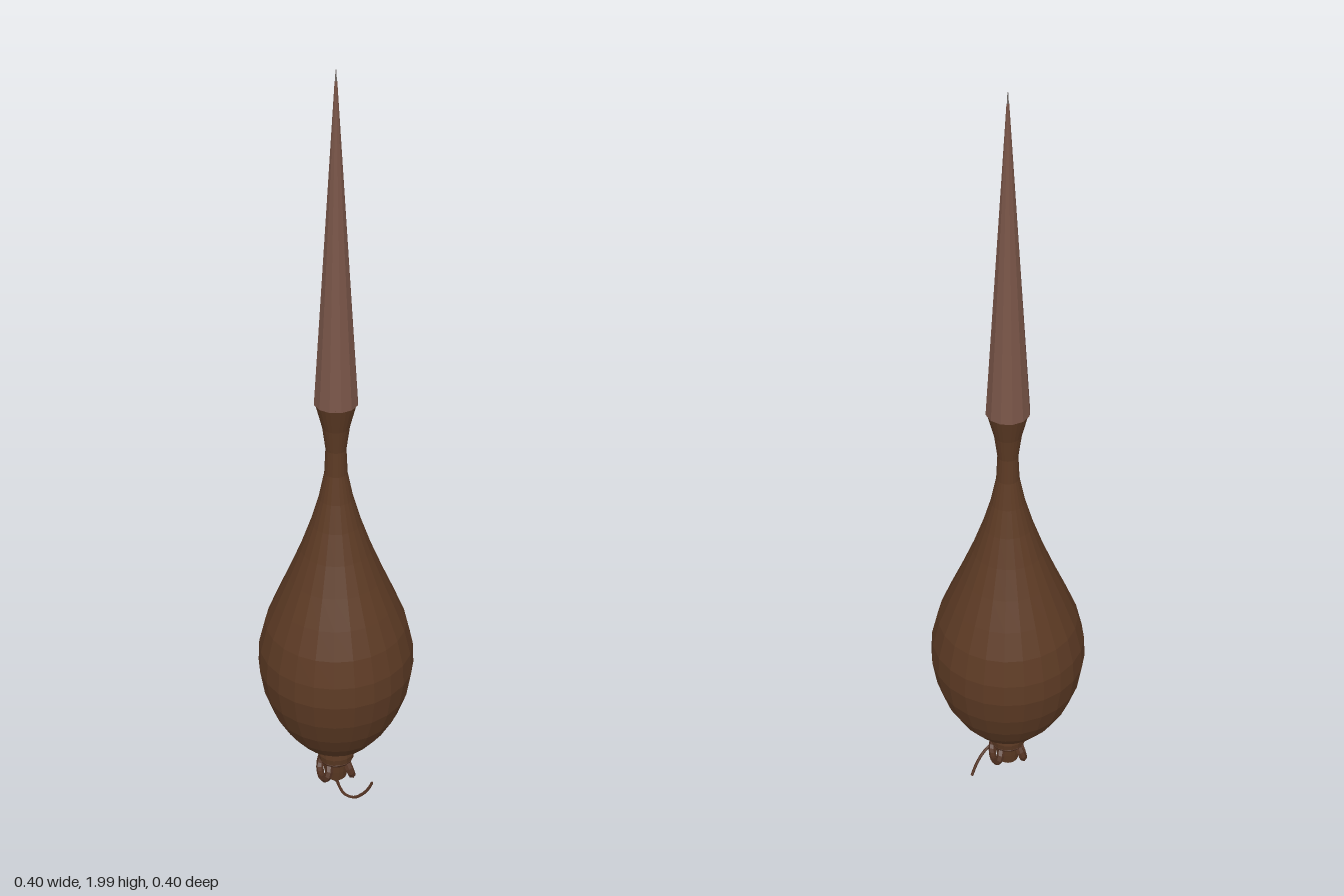
import * as THREE from 'three';

export function createModel() {
  const model = new THREE.Group();
  const mat = (name, color, flatShading = true) =>
    new THREE.MeshStandardMaterial({ name, color, flatShading, side: THREE.DoubleSide });
  const bark = mat('dark brown', 0x5c3a24);
  const horn = mat('light brown', 0x795548);
  const twine = mat('cord brown', 0x523222);
  const steel = mat('needle grey', 0x77706c);

  const add = (name, geometry, material, x = 0, y = 0, z = 0) => {
    const mesh = new THREE.Mesh(geometry, material);
    mesh.name = name;
    mesh.position.set(x, y, z);
    model.add(mesh);
    return mesh;
  };
  const lathe = (points, sides) =>
    new THREE.LatheGeometry(points.map(([r, y]) => new THREE.Vector2(r, y)), sides);

  // Gourd-shaped body with a thin neck and flared mouth
  add('body', lathe([
    [0, 0.16], [0.05, 0.165], [0.1, 0.205], [0.135, 0.25], [0.165, 0.305], [0.187, 0.37],
    [0.198, 0.44], [0.195, 0.5], [0.178, 0.57], [0.15, 0.64], [0.118, 0.715], [0.088, 0.79],
    [0.062, 0.865], [0.042, 0.935], [0.028, 1.005], [0.025, 1.07], [0.033, 1.13], [0.051, 1.2],
  ], 24), bark);

  // Long tapering spike and its fine point
  add('spike', new THREE.CylinderGeometry(0.003, 0.053, 0.77, 12), horn, 0, 1.58, 0);
  add('needle', new THREE.CylinderGeometry(0.001, 0.003, 0.04, 6), steel, 0, 1.97, 0);

  // Collar and knot core below the body
  add('collar', lathe([
    [0, 0.17], [0.048, 0.17], [0.05, 0.145], [0.046, 0.125], [0.036, 0.115], [0.033, 0.09],
    [0.028, 0.06], [0.012, 0.045], [0, 0.03],
  ], 16), bark);
  const band = add('cordBand', new THREE.TorusGeometry(0.038, 0.009, 6, 16), twine, 0, 0.125, 0);
  band.rotation.x = Math.PI / 2;

  // Knotted loops, splayed outward on both sides
  for (const s of [-1, 1]) {
    const loop = add('knotLoop', new THREE.TorusGeometry(0.033, 0.01, 6, 14), twine, s * 0.031, 0.09, 0);
    loop.scale.set(1.15, 0.85, 1);
    loop.rotation.order = 'ZYX';
    loop.rotation.set(0, Math.PI / 2, s * 0.35);
  }

  // Loose curled end of the cord
  const curl = new THREE.CatmullRomCurve3([
    [0, 0.05, 0], [0, 0.047, 0.035], [0.008, 0.042, 0.065], [0.03, 0.034, 0.074],
    [0.06, 0.023, 0.055], [0.085, 0.012, 0.025], [0.1, 0.005, 0],
  ].map((p) => new THREE.Vector3(...p)));
  add('cordEnd', new THREE.TubeGeometry(curl, 24, 0.004, 6), twine);

  return model;
}
